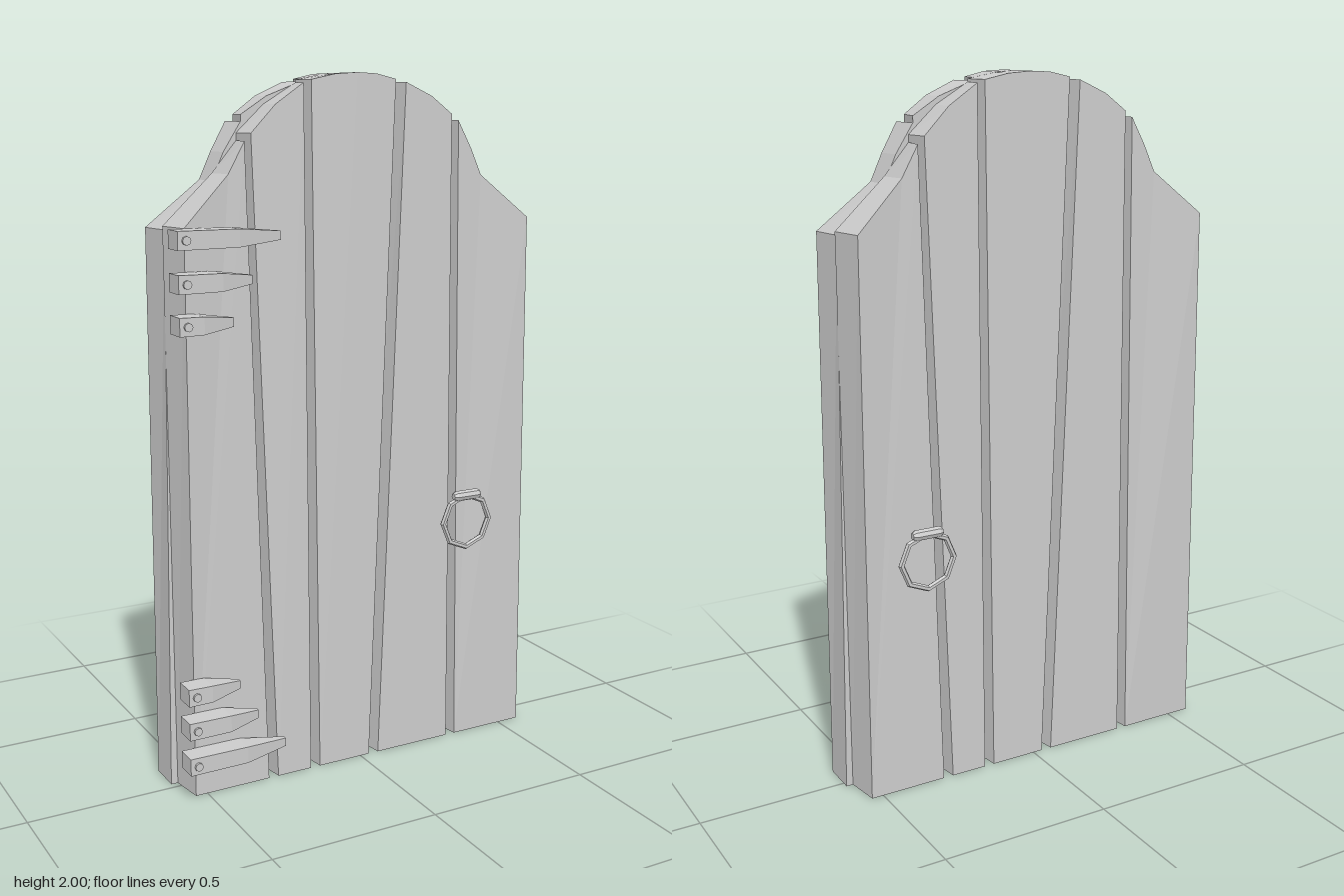
import * as THREE from 'three';

const mat = new THREE.MeshStandardMaterial({ color: 0xcccccc, flatShading: true });
const MID = -0.02, FACE = 0.08, TOP = 0.055;

function add(parent, name, geo, x = 0, y = 0, z = 0) {
  const m = new THREE.Mesh(geo, mat);
  m.name = name;
  m.position.set(x, y, z);
  parent.add(m);
  return m;
}

// Solid between two matching rings of corners, both anticlockwise seen from +z
function loft(front, back) {
  const pos = [], n = front.length;
  const tri = (a, b, c) => pos.push(...a, ...b, ...c);
  for (let i = 1; i < n - 1; i++) {
    tri(front[0], front[i], front[i + 1]);
    tri(back[0], back[i + 1], back[i]);
  }
  for (let i = 0; i < n; i++) {
    const j = (i + 1) % n;
    tri(front[i], back[i], back[j]);
    tri(front[i], back[j], front[j]);
  }
  const g = new THREE.BufferGeometry();
  g.setAttribute('position', new THREE.Float32BufferAttribute(pos, 3));
  g.computeVertexNormals();
  return g;
}

// Planks of one door half; each corner is [front x, y, x at mid depth, front z]
const planks = [
  [[-0.535, 0, -0.55, FACE], [-0.305, 0, -0.29, FACE], [-0.342, 1.82, -0.332, TOP],
    [-0.39, 1.735, -0.405, TOP], [-0.53, 1.6, -0.55, FACE]],
  [[-0.275, 0, -0.29, FACE], [-0.168, 0, -0.153, FACE], [-0.165, 1.972, -0.153, TOP],
    [-0.25, 1.915, -0.25, TOP], [-0.323, 1.84, -0.332, TOP]],
  [[-0.138, 0, -0.153, FACE], [0.028, 0, 0.044, FACE], [0.122, 1.983, 0.138, TOP],
    [0.06, 1.997, 0.06, TOP], [0, 2, 0, TOP], [-0.07, 1.995, -0.07, TOP], [-0.142, 1.98, -0.153, TOP]],
  [[0.06, 0, 0.044, FACE], [0.304, 0, 0.318, FACE], [0.307, 1.888, 0.318, TOP],
    [0.24, 1.937, 0.24, TOP], [0.155, 1.975, 0.138, TOP]],
  [[0.334, 0, 0.318, FACE], [0.57, 0, 0.57, FACE], [0.56, 1.59, 0.545, FACE],
    [0.41, 1.715, 0.405, TOP], [0.375, 1.79, 0.37, TOP], [0.33, 1.87, 0.318, TOP]],
];

function doorHalf(name) {
  const half = new THREE.Group();
  half.name = name;
  for (const p of planks) {
    add(half, 'plank', loft(
      p.map(([x, y, , z]) => [x, y, z - MID]),
      p.map(([, y, x]) => [x, y, 0])));
  }
  half.position.z = MID;
  return half;
}

// Strap: square bar tapering to a blunt tip, with a rivet
function hinge(y, bend, tip) {
  const g = new THREE.Group();
  g.name = 'hinge';
  const ring = (x, h, z0, z1) => [[x, -h, z0], [x, -h, z1], [x, h, z1], [x, h, z0]];
  const root = ring(-0.575, 0.025, 0.08, 0.145);
  const neck = ring(bend, 0.024, 0.08, 0.145);
  const end = ring(tip, 0.012, 0.107, 0.12);
  // rings run anticlockwise seen from -x, so reverse them to face +x
  const flip = r => r.slice().reverse();
  add(g, 'strap', loft(flip(neck), flip(root)));
  add(g, 'strapTip', loft(flip(end), flip(neck)));
  add(g, 'rivet', new THREE.CylinderGeometry(0.012, 0.012, 0.016, 8), -0.552, 0, 0.144).rotation.x = Math.PI / 2;
  g.position.y = y;
  return g;
}

// Octagonal pull ring hanging from a short collar
function handle(name, z) {
  const g = new THREE.Group();
  g.name = name;
  add(g, 'ring', new THREE.TorusGeometry(0.081, 0.009, 6, 8), 0.355, 0.69, 0);
  const profile = [[0, -0.046], [0.01, -0.046], [0.016, -0.036], [0.016, 0.036], [0.01, 0.046], [0, 0.046]];
  const collar = add(g, 'collar',
    new THREE.LatheGeometry(profile.map(p => new THREE.Vector2(...p)), 8), 0.355, 0.77, 0);
  collar.rotation.z = Math.PI / 2;
  g.position.z = z;
  return g;
}

export function createModel() {
  const door = new THREE.Group();
  door.name = 'door';

  // The back half is the front half turned round
  const back = doorHalf('backHalf');
  back.rotation.y = Math.PI;
  door.add(doorHalf('frontHalf'), back);

  // Three straps near the top, mirrored near the bottom
  for (const [top, low, bend, tip] of [
    [1.575, 0.122, -0.4, -0.27], [1.462, 0.227, -0.45, -0.355], [1.352, 0.327, -0.505, -0.41]]) {
    door.add(hinge(top, bend, tip), hinge(low, bend, tip));
  }

  door.add(handle('frontHandle', 0.094), handle('backHandle', -0.138));
  return door;
}
